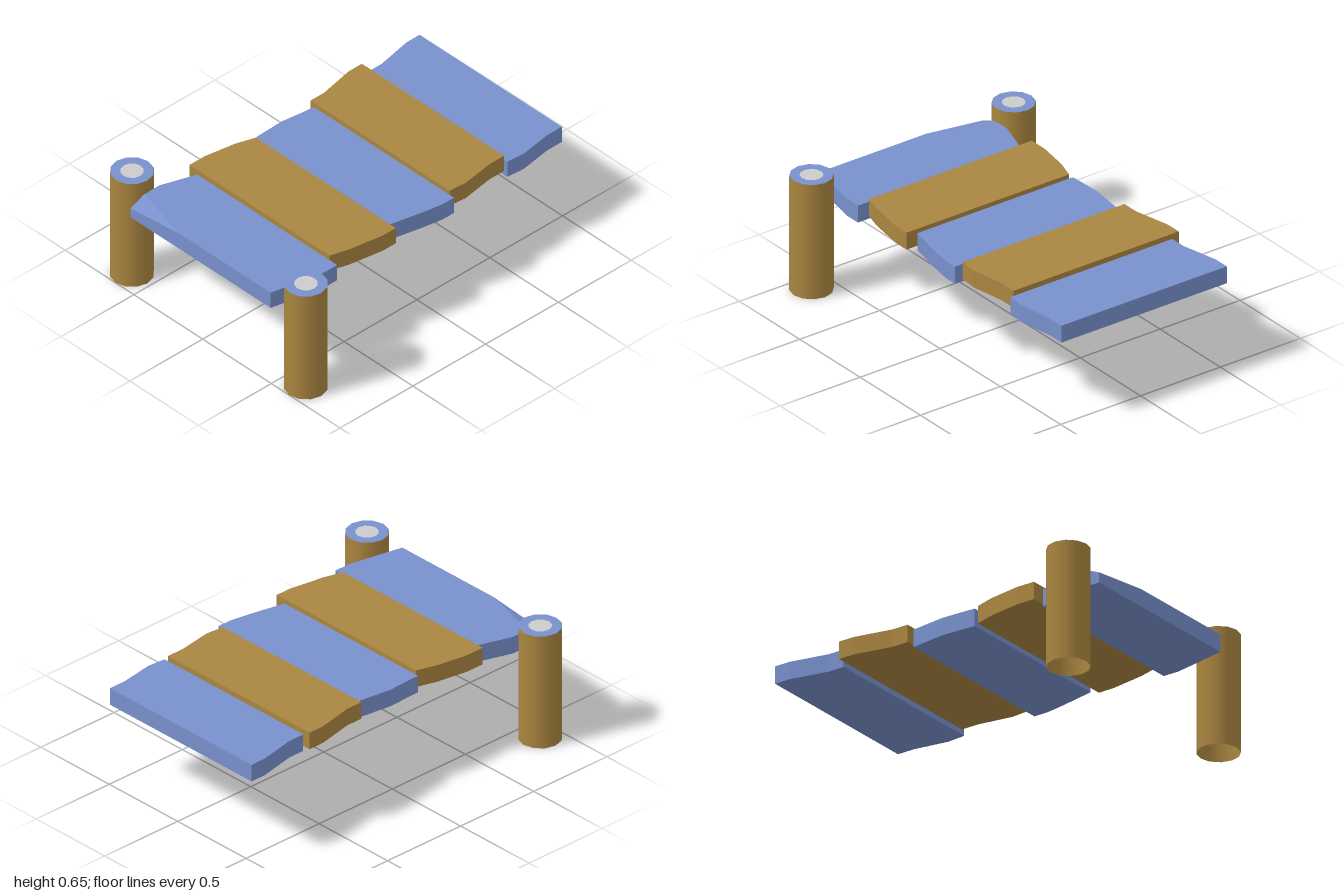
import * as THREE from 'three';

const blue = new THREE.MeshStandardMaterial({ color: 0x7890cc });
const brown = new THREE.MeshStandardMaterial({ color: 0xaa8540, side: THREE.DoubleSide });
const grey = new THREE.MeshStandardMaterial({ color: 0xcccccc });

const THICK = 0.096;

// Slab with an outline given as [x, z] corners, its upper face at y = top
function slab(outline, top) {
  const shape = new THREE.Shape(outline.map(([x, z]) => new THREE.Vector2(x, z)));
  const geo = new THREE.ExtrudeGeometry(shape, { depth: THICK, bevelEnabled: false });
  return geo.rotateX(Math.PI / 2).translate(0, top, 0);
}

function add(parent, name, geo, material) {
  const mesh = new THREE.Mesh(geo, material);
  mesh.name = name;
  parent.add(mesh);
  return mesh;
}

// Wavy-ended rear outline, used for two planks
const rearOutline = z => [
  [-0.54, z], [-0.54, z + 0.09], [-0.497, z + 0.3], [-0.497, z + 0.394],
  [0.516, z + 0.394], [0.525, z + 0.29], [0.495, z + 0.1], [0.495, z],
];

const planks = [
  { top: 0.559, material: blue, outline: rearOutline(-1) },
  { top: 0.586, material: brown, outline: rearOutline(-0.603) },
  { top: 0.57, material: blue, outline: [
    [-0.46, -0.2], [-0.487, 0], [-0.48, 0.194], [0.495, 0.194],
    [0.537, 0], [0.558, -0.12], [0.558, -0.2]] },
  { top: 0.59, material: brown, outline: [
    [-0.46, 0.2], [-0.495, 0.31], [-0.525, 0.49], [-0.525, 0.595],
    [0.495, 0.595], [0.525, 0.49], [0.558, 0.29], [0.558, 0.2]] },
  // Front plank, without its worn corner
  { top: 0.57, material: blue, outline: [
    [-0.46, 0.603], [-0.525, 0.8], [-0.525, 0.905], [-0.17, 1], [0.495, 1],
    [0.537, 0.8], [0.558, 0.69], [0.558, 0.603]] },
];

export function createModel() {
  const model = new THREE.Group();
  model.name = 'dock';

  planks.forEach((p, i) => add(model, `plank${i + 1}`, slab(p.outline, p.top), p.material));

  // Worn front corner: a wedge whose outer top corner drops
  const corner = slab([[-0.525, 0.905], [-0.525, 1], [-0.17, 1]], 0.57);
  const pos = corner.attributes.position;
  for (let i = 0; i < pos.count; i++) {
    if (pos.getX(i) < -0.5 && pos.getZ(i) > 0.95 && pos.getY(i) > 0.55) pos.setY(i, 0.53);
  }
  corner.computeVertexNormals();
  add(model, 'wornCorner', corner, blue);

  // Mooring posts: hollow-bottomed shaft, ring on top, pale core
  const R = 0.112, H = 0.648;
  for (const side of [-1, 1]) {
    const post = new THREE.Group();
    post.name = side > 0 ? 'leftPost' : 'rightPost';
    post.position.set(side * 0.633, 0, 0.888);
    add(post, 'shaft', new THREE.CylinderGeometry(R, R, H, 12, 1, true).translate(0, H / 2, 0), brown);
    const flat = geo => geo.rotateX(-Math.PI / 2).translate(0, H, 0);
    add(post, 'topRing', flat(new THREE.RingGeometry(0.06, R, 12)), blue);
    add(post, 'topCore', flat(new THREE.CircleGeometry(0.06, 12)), grey);
    model.add(post);
  }
  return model;
}
